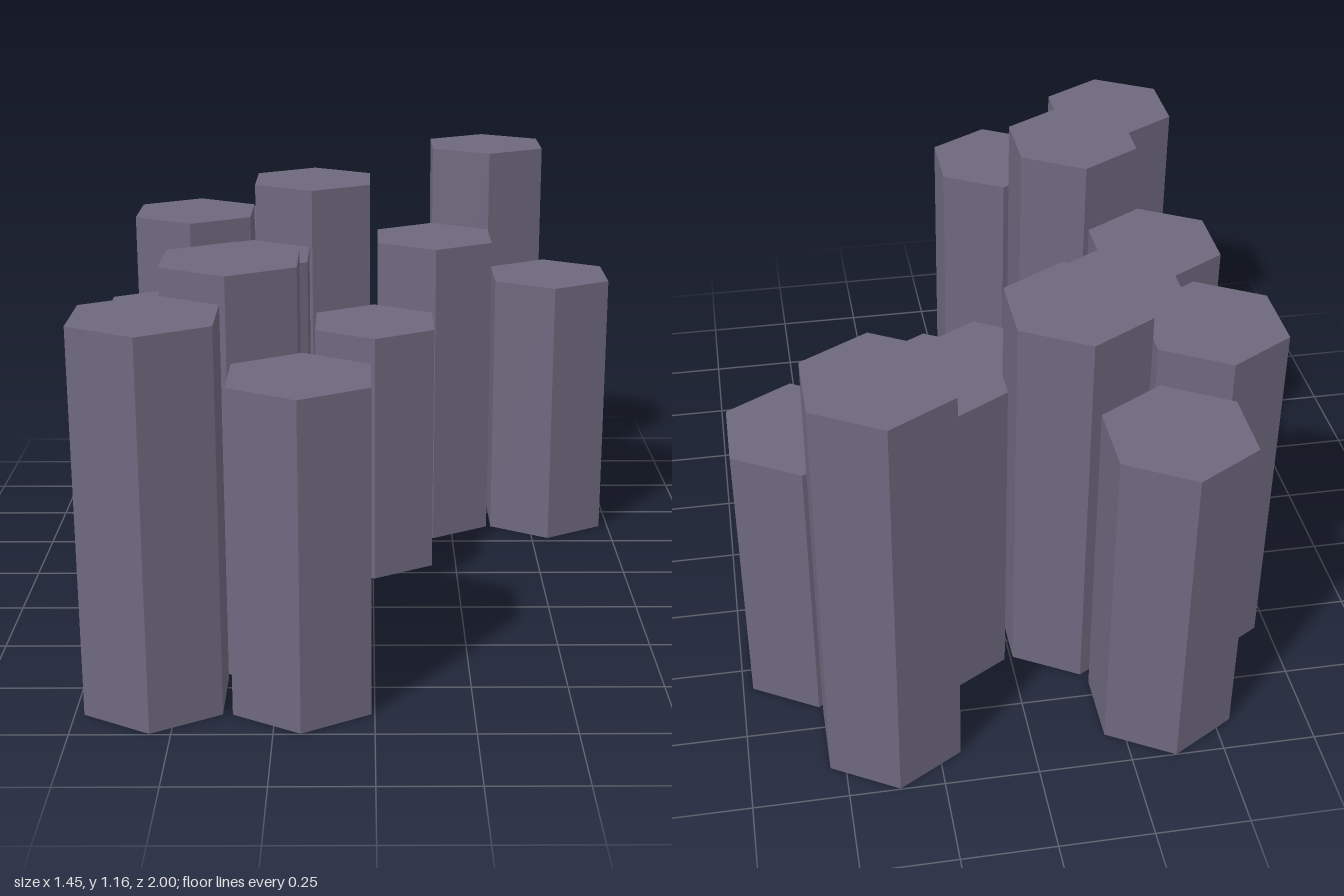
import * as THREE from 'three';

export function createModel() {
  const model = new THREE.Group();
  model.name = 'basaltColumns';
  const stone = new THREE.MeshStandardMaterial({ color: 0x6e687e, flatShading: true });
  stone.name = 'purple grey stone';

  // Each column: centre x, centre z, height
  const columns = [
    [-0.37, -0.80, 0.92], [0.367, -0.798, 1.16],
    [-0.542, -0.466, 1.007], [-0.18, -0.468, 1.105], [0.19, -0.474, 0.925], [0.55, -0.474, 0.805],
    [-0.361, -0.15, 0.94], [0.005, -0.156, 0.737],
    [-0.553, 0.175, 0.87],
    [-0.367, 0.48, 1.072],
    [-0.553, 0.796, 1.005], [-0.182, 0.797, 0.855],
  ];

  // Six-sided prisms standing on the ground, with corners facing front and back
  columns.forEach(([x, z, height], i) => {
    const column = new THREE.Mesh(new THREE.CylinderGeometry(0.2, 0.2, height, 6), stone);
    column.position.set(x, height / 2, z);
    column.name = `hexColumn${i + 1}`;
    model.add(column);
  });

  return model;
}
